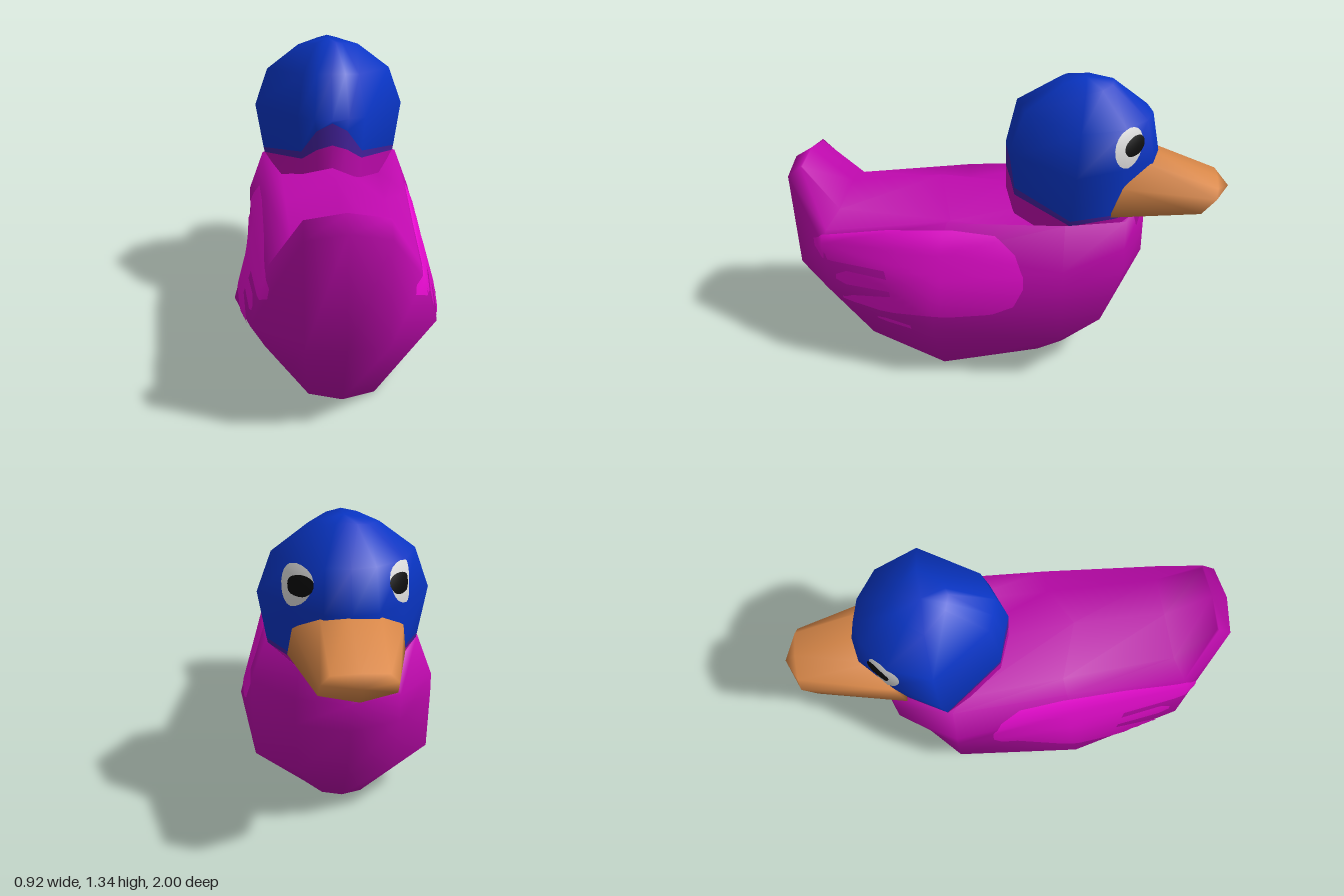
import * as THREE from 'three';
import { mergeVertices } from 'three/addons/utils/BufferGeometryUtils.js';

const paint = (name, color) => {
  const m = new THREE.MeshStandardMaterial({ color });
  m.name = name;
  return m;
};

// Completes a half section (first and last point on x = 0) to a closed loop.
const mirror = half => [
  ...half,
  ...half.slice(1, -1).reverse().map(([x, y, z]) => [-x, y, z]),
];

// Skins a stack of half sections; slots gives the material index of each band.
function loft(halves, slots = []) {
  const rings = halves.map(mirror);
  const n = rings[0].length;
  const index = [];
  const geo = new THREE.BufferGeometry();
  const pts = rings.flat().map(p => new THREE.Vector3(...p));
  const tri = (a, b, c) => {
    const area = new THREE.Triangle(pts[a], pts[b], pts[c]).getArea();
    if (area > 1e-7) index.push(a, b, c);
  };
  for (let i = 0; i < rings.length - 1; i++) {
    const start = index.length;
    for (let j = 0; j < n; j++) {
      const a = i * n + j, b = i * n + (j + 1) % n;
      tri(a, b, b + n);
      tri(a, b + n, a + n);
    }
    if (slots.length) geo.addGroup(start, index.length - start, slots[i]);
  }
  geo.setAttribute('position', new THREE.Float32BufferAttribute(rings.flat(2), 3));
  geo.setIndex(index);
  const merged = mergeVertices(geo, 1e-4);
  merged.computeVertexNormals();
  return merged;
}

// Level section from plan fractions: half width, back z, front z, height(s).
const level = (plan, ys, w, back, front) => plan.map(([fx, t], i) => [
  fx * w, Array.isArray(ys) ? ys[i] : ys, back + (front - back) * t,
]);

// Lays a grid of (z, y) samples onto the side of a mesh as a thin skin.
function decal(target, name, material, side, nu, nv, at, lift) {
  const ray = new THREE.Raycaster();
  const pos = [], nor = [], index = [];
  for (let i = 0; i <= nu; i++) {
    for (let j = 0; j <= nv; j++) {
      const [z, y] = at(i / nu, j / nv);
      ray.set(new THREE.Vector3(side * 2, y, z), new THREE.Vector3(-side, 0, 0));
      const hit = ray.intersectObject(target)[0];
      const nrm = hit ? hit.normal.clone().normalize() : new THREE.Vector3(side, 0, 0);
      const p = hit ? hit.point.clone() : new THREE.Vector3(side * 0.2, y, z);
      pos.push(...p.addScaledVector(nrm, lift).toArray());
      nor.push(...nrm.toArray());
      if (i < nu && j < nv) {
        const a = i * (nv + 1) + j, b = a + nv + 1;
        if (side > 0) index.push(a, b, b + 1, a, b + 1, a + 1);
        else index.push(a, b + 1, b, a, a + 1, b + 1);
      }
    }
  }
  const geo = new THREE.BufferGeometry();
  geo.setAttribute('position', new THREE.Float32BufferAttribute(pos, 3));
  geo.setAttribute('normal', new THREE.Float32BufferAttribute(nor, 3));
  geo.setIndex(index);
  const mesh = new THREE.Mesh(geo, material);
  mesh.name = name;
  return mesh;
}

// Disc sampled from its centre outwards.
const disc = (z, y, rz, ry) => (u, v) => [
  z - Math.cos(v * 2 * Math.PI) * rz * u,
  y + Math.sin(v * 2 * Math.PI) * ry * u,
];

// Band running forwards through stations of [z, top y, bottom y].
const band = stations => (u, v) => {
  const f = u * (stations.length - 1);
  const i = Math.min(Math.floor(f), stations.length - 2);
  const [z, top, low] = stations[i].map((s, k) => s + (stations[i + 1][k] - s) * (f - i));
  return [z, low + (top - low) * v];
};

export function createModel() {
  const duck = new THREE.Group();
  duck.name = 'duck';
  const magenta = paint('magenta', 0xbe09ad);
  const pink = paint('brightMagenta', 0xe80bd0);
  const blue = paint('blue', 0x0935c5);
  const violet = paint('violet', 0x45229f);
  const orange = paint('orange', 0xd98849);
  const white = paint('white', 0xdadada);
  const black = paint('black', 0x0a0a0a);
  const add = (name, geo, mat) => {
    const mesh = new THREE.Mesh(geo, mat);
    mesh.name = name;
    duck.add(mesh);
    return mesh;
  };

  // Body sections, each from tail to breast along the left side
  const tailBack = [[0, 0.88, 1], [0.16, 0.85, 0.985], [0.31, 0.6, 0.8]];
  const body = add('body', loft([
    // flat base
    Array(7).fill([0, 0, 0.25]),
    [[0, 0, 0.7], [0.14, 0, 0.65], [0.235, 0, 0.45], [0.33, 0, 0.25], [0.17, 0, -0.18], [0.09, 0, -0.29], [0, 0, -0.32]],
    // widest line of the hull
    [[0, 0.4, 0.98], [0.16, 0.4, 0.97], [0.37, 0.4, 0.77], [0.46, 0.27, 0.27],
      [0.39, 0.23, -0.3], [0.21, 0.23, -0.47], [0, 0.23, -0.53]],
    // flanks and breast
    [...tailBack, [0.395, 0.5, 0.25], [0.4, 0.5, -0.3], [0.22, 0.5, -0.56], [0, 0.5, -0.64]],
    [...tailBack, [0.355, 0.61, 0.25], [0.4, 0.59, -0.3], [0.22, 0.62, -0.56], [0, 0.62, -0.64]],
    // rim
    [[0, 0.93, 0.92], [0.16, 0.905, 0.92], [0.295, 0.66, 0.78], [0.31, 0.745, 0.22],
      [0.33, 0.78, -0.3], [0.2, 0.75, -0.56], [0, 0.75, -0.64]],
    // hollows beside the back
    [[0, 0.93, 0.92], [0.15, 0.9, 0.915], [0.2, 0.72, 0.74], [0.22, 0.71, 0.22],
      [0.24, 0.69, -0.25], [0.18, 0.72, -0.52], [0, 0.74, -0.6]],
    // ridge of the back
    [[0, 0.93, 0.92], [0, 0.93, 0.92], [0, 0.77, 0.73], [0, 0.83, 0.3],
      [0, 0.75, -0.3], [0, 0.75, -0.5], [0, 0.74, -0.6]],
  ]), magenta);

  // Head: magenta neck, violet collar rising at the nape, blue crown
  const skull = [[0, 0], [0.22, 0.045], [0.44, 0.09], [1, 0.5], [0.64, 0.8], [0.3, 0.97], [0, 1]];
  const head = add('head', loft([
    level(skull, 0.64, 0.3, 0, -0.62),
    level(skull, [0.9, 0.87, 0.82, 0.775, 0.765, 0.755, 0.755], 0.32, 0, -0.64),
    level(skull, [1.005, 0.96, 0.855, 0.8, 0.785, 0.775, 0.775], 0.325, 0, -0.642),
    level(skull, 1.015, 0.36, 0, -0.68),
    [[0, 1.22, -0.05], [0.065, 1.215, -0.075], [0.13, 1.21, -0.1], [0.297, 1.19, -0.35],
      [0.222, 1.19, -0.535], [0.1, 1.19, -0.62], [0, 1.19, -0.645]],
    level(skull, [1.335, 1.33, 1.325, 1.305, 1.31, 1.32, 1.33], 0.145, -0.24, -0.47),
    skull.map(() => [0, 1.335, -0.35]),
  ], [0, 1, 2, 2, 2, 2]), [magenta, violet, blue]);

  // Beak: sections from the face to the blunt tip
  add('beak', loft([
    Array(5).fill([0, 0.9, -0.5]),
    [[0, 1.03, -0.62], [0.12, 1.005, -0.62], [0.225, 0.92, -0.535], [0.245, 0.79, -0.49], [0, 0.785, -0.5]],
    [[0, 0.9, -0.95], [0.11, 0.893, -0.945], [0.145, 0.855, -0.94], [0.15, 0.785, -0.88], [0, 0.78, -0.94]],
    Array(5).fill([0, 0.86, -1]),
  ]), orange);

  // Wing patch and trailing feathers
  const feathers = [
    [[0.85, 0.6, 0.56], [0.8, 0.635, 0.53], [0.5, 0.685, 0.51], [0.45, 0.69, 0.33], [0.2, 0.715, 0.34],
      [0, 0.71, 0.37], [-0.09, 0.64, 0.41], [-0.13, 0.55, 0.49]],
    [[0.73, 0.47, 0.45], [0.68, 0.49, 0.43], [0.45, 0.47, 0.42]],
    [[0.7, 0.37, 0.35], [0.65, 0.385, 0.34], [0.45, 0.4, 0.33]],
    [[0.55, 0.26, 0.245], [0.5, 0.27, 0.235], [0.38, 0.265, 0.235]],
  ];
  for (const side of [1, -1]) {
    const tag = side > 0 ? 'left' : 'right';
    feathers.forEach((f, i) => duck.add(decal(
      body, tag + (i ? 'Feather' + i : 'Wing'), pink, side, (f.length - 1) * 6, i ? 4 : 14, band(f), 0.005)));
    // Eyes
    duck.add(decal(head, tag + 'EyeWhite', white, side, 6, 20, disc(-0.545, 1.107, 0.056, 0.086), 0.004));
    duck.add(decal(head, tag + 'Pupil', black, side, 5, 20, disc(-0.567, 1.107, 0.039, 0.043), 0.008));
  }
  return duck;
}
